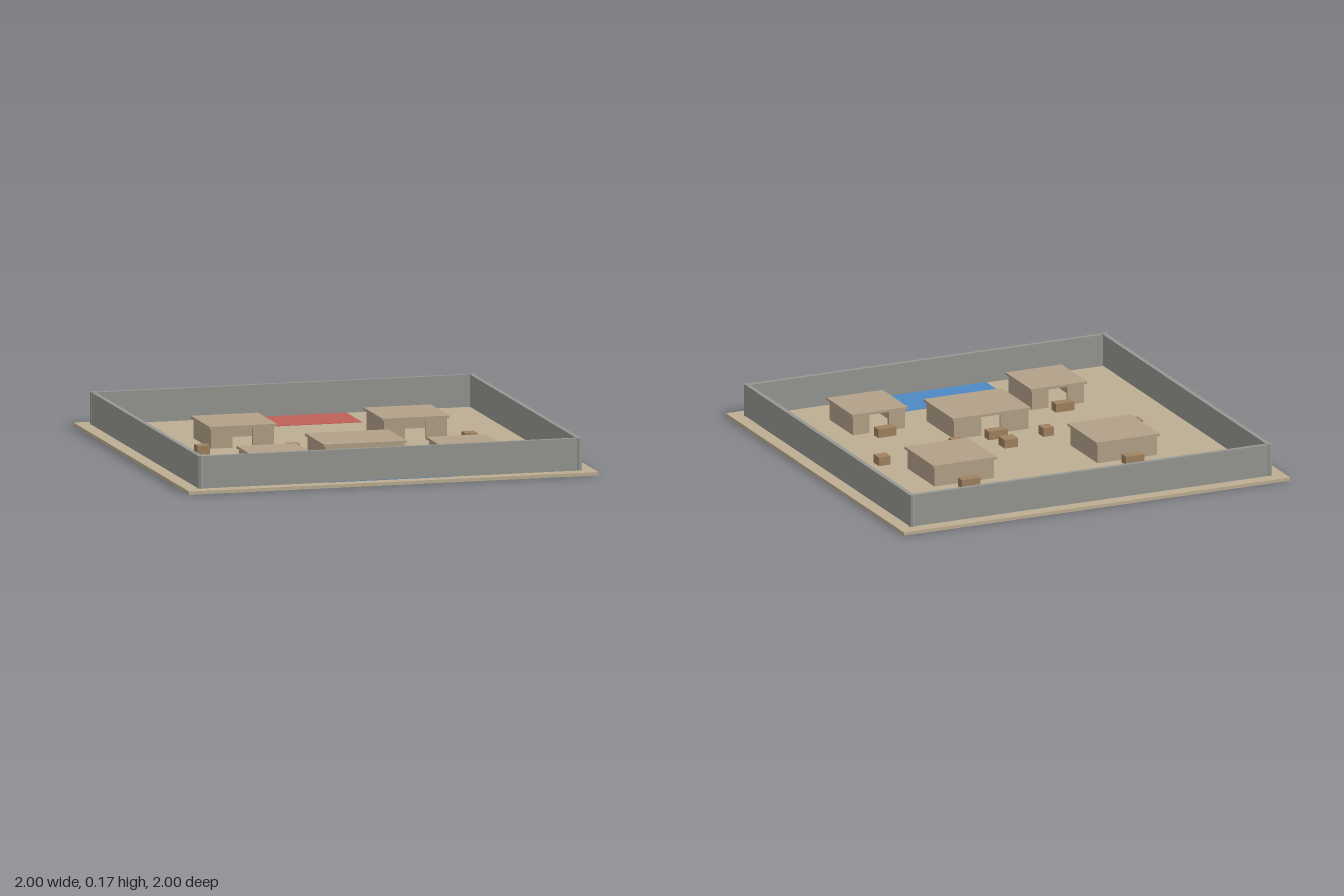
import * as THREE from 'three';

const mat = (color) => new THREE.MeshStandardMaterial({ color, flatShading: true });
const GROUND = 0.016; // top of the ground slab

export function createModel() {
  const model = new THREE.Group();
  model.name = 'walledArena';
  const sand = mat(0xbcae92), stone = mat(0x969692), plaster = mat(0xb2a188);
  const wood = mat(0xa08260), red = mat(0xbf6058), blue = mat(0x4f88c4);

  // Box standing on height y
  function box(parent, name, material, w, h, d, x, y, z) {
    const mesh = new THREE.Mesh(new THREE.BoxGeometry(w, h, d), material);
    mesh.name = name;
    mesh.position.set(x, y + h / 2, z);
    parent.add(mesh);
    return mesh;
  }

  // Ground and the two coloured base zones
  box(model, 'ground', sand, 2, GROUND, 2, 0, 0, 0);
  box(model, 'redZone', red, 0.615, 0.002, 0.27, 0, GROUND, -0.77);
  box(model, 'blueZone', blue, 0.615, 0.002, 0.268, 0, GROUND, 0.803);

  // Perimeter walls with corner posts
  const R = 0.924, wallH = 0.154;
  for (const s of [-1, 1]) {
    box(model, 'perimeterWall', stone, 2 * R, wallH, 0.022, 0, GROUND, s * R);
    box(model, 'perimeterWall', stone, 0.022, wallH, 2 * R, s * R, GROUND, 0);
    for (const t of [-1, 1]) {
      const post = new THREE.Mesh(new THREE.CylinderGeometry(0.016, 0.016, wallH + 0.002, 8), stone);
      post.name = 'cornerPost';
      post.position.set(s * R, GROUND + wallH / 2 + 0.001, t * R);
      model.add(post);
    }
  }

  // Hollow hut with a full-height doorway; facing is the door side along z
  function hut(x, z, w, d, facing) {
    const g = new THREE.Group();
    g.name = 'hut';
    const h = 0.094, t = 0.016, door = 0.1;
    const iw = w - 0.02, id = d - 0.02;
    const side = (iw - door) / 2;
    box(g, 'backWall', plaster, iw, h, t, 0, 0, -id / 2 + t / 2);
    for (const s of [-1, 1]) {
      box(g, 'sideWall', plaster, t, h, id, s * (iw - t) / 2, 0, 0);
      box(g, 'doorWall', plaster, side, h, t, s * (door + side) / 2, 0, id / 2 - t / 2);
    }
    box(g, 'roof', plaster, w, 0.012, d, 0, h, 0);
    g.position.set(x, GROUND, z);
    if (facing < 0) g.rotation.y = Math.PI;
    model.add(g);
  }
  hut(0, 0.345, 0.405, 0.33, -1);
  for (const s of [-1, 1]) {
    hut(s * 0.422, -0.272, 0.328, 0.325, 1);
    hut(s * 0.463, 0.575, 0.29, 0.285, -1);
  }

  // Cover crates: x, z, width, depth
  const crate = (x, z, w, d) => box(model, 'crate', wood, w, 0.042, d, x, GROUND, z);
  crate(0, -0.004, 0.07, 0.068);
  crate(0, 0.131, 0.1, 0.048);
  for (const s of [-1, 1]) {
    crate(s * 0.424, -0.485, 0.096, 0.048);
    crate(s * 0.653, -0.004, 0.06, 0.06);
    crate(s * 0.232, 0.075, 0.055, 0.055);
    crate(s * 0.46, 0.381, 0.094, 0.05);
  }
  return model;
}
